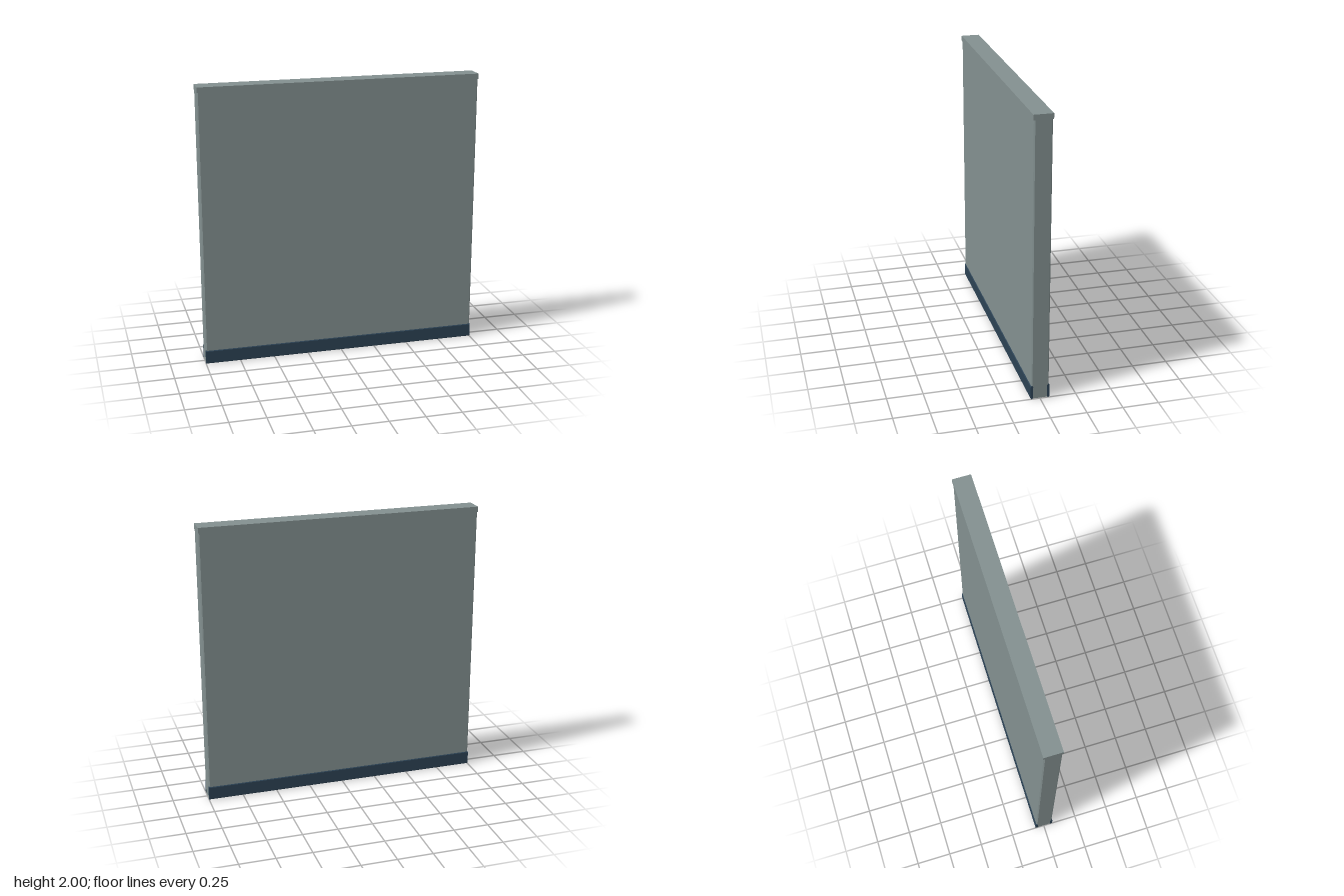
import * as THREE from 'three';

// Box with its long edges chamfered: a cut-corner section extruded along +z
function chamferedBar(w, h, length, c) {
  const x = w / 2, y = h / 2;
  const section = new THREE.Shape([
    [-x + c, -y], [x - c, -y], [x, -y + c], [x, y - c],
    [x - c, y], [-x + c, y], [-x, y - c], [-x, -y + c],
  ].map(([a, b]) => new THREE.Vector2(a, b)));
  return new THREE.ExtrudeGeometry(section, { depth: length, bevelEnabled: false })
    .translate(0, 0, -length / 2);
}

export function createModel() {
  const group = new THREE.Group();
  const plaster = new THREE.MeshStandardMaterial({ color: 0x839090 });
  plaster.name = 'grey plaster';
  const navy = new THREE.MeshStandardMaterial({ color: 0x2c4254 });
  navy.name = 'navy trim';

  const add = (name, geometry, material, x, y, z) => {
    const mesh = new THREE.Mesh(geometry, material);
    mesh.name = name;
    mesh.position.set(x, y, z);
    group.add(mesh);
  };

  // Upright panel with chamfered vertical corners
  const panel = chamferedBar(1.998, 0.122, 1.975, 0.008).rotateX(-Math.PI / 2);
  add('wallPanel', panel, plaster, 0, 0.9915, 0);

  // Cap rail overhanging both faces
  add('topCap', new THREE.BoxGeometry(2, 0.038, 0.132), plaster, 0, 1.981, 0);

  // Skirting boards on the front and back, rounded off along their long edges
  for (const side of [1, -1]) {
    const board = chamferedBar(0.018, 0.1, 2, 0.007).rotateY(Math.PI / 2);
    add(side > 0 ? 'frontSkirting' : 'backSkirting', board, navy, 0, 0.05, side * 0.057);
  }
  return group;
}
